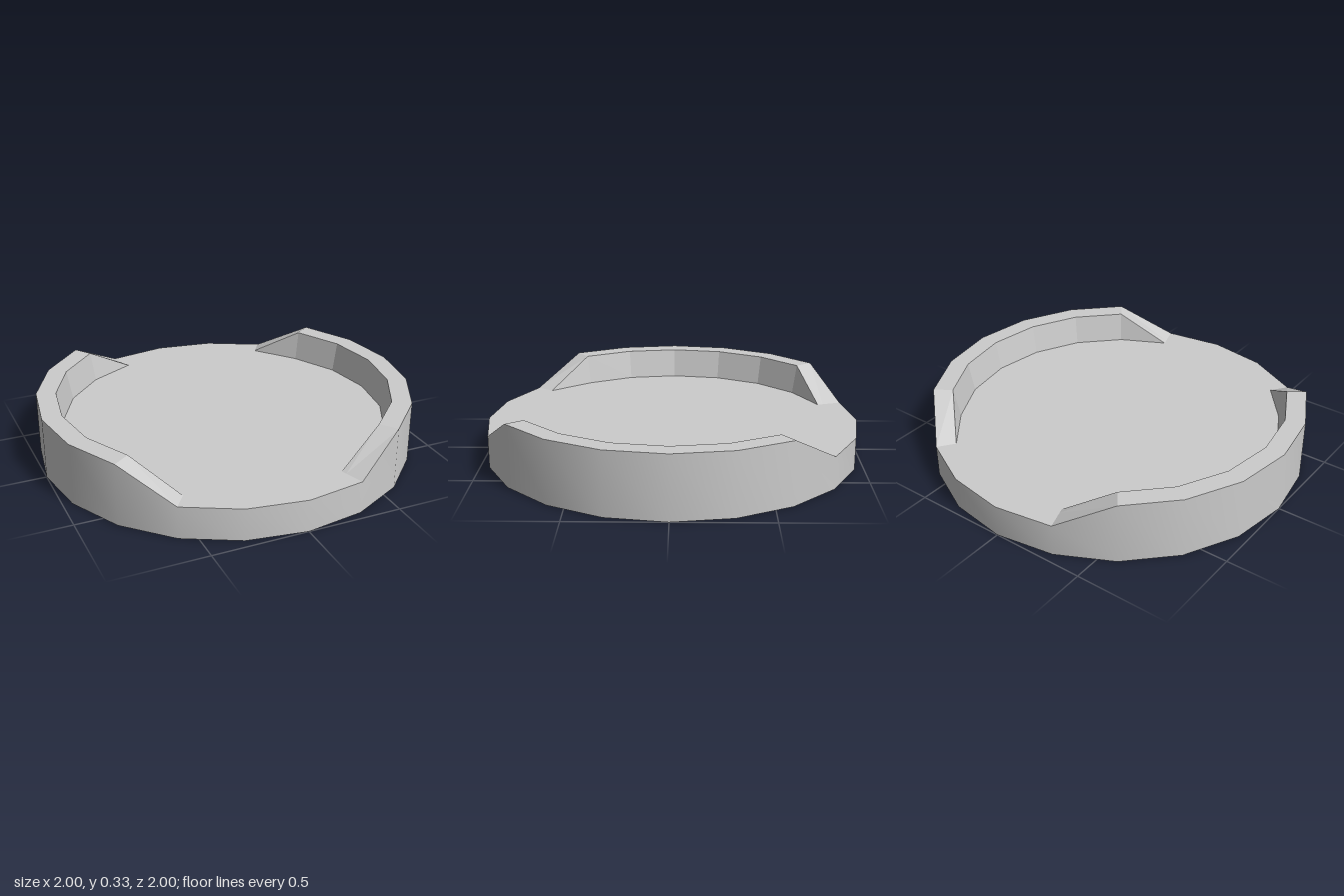
import * as THREE from 'three';
import { toCreasedNormals } from 'three/addons/utils/BufferGeometryUtils.js';

const SIDES = 20, FLOOR = 0.172, RIM = 0.332;
const R_OUT = 1, R_IN_TOP = 0.895, R_IN_BASE = 0.865;
const FIRST = -3, LAST = 4; // low ends of one raised wall, in sides
const STARTS = [0, SIDES / 2]; // two walls, half a turn apart

const point = (i, r, y) => {
  const a = (i / SIDES) * Math.PI * 2;
  return [r * Math.cos(a), y, r * Math.sin(a)];
};

// Height of the top edge at a corner: raised inside a wall, low elsewhere
const height = (i) =>
  STARTS.some((s) => {
    const k = (((i - s - FIRST) % SIDES) + SIDES) % SIDES;
    return k > 0 && k < LAST - FIRST;
  }) ? RIM : FLOOR;

// Strip of quads between two edges, each given by a function of the corner
function strip(from, to, edgeA, edgeB) {
  const pos = [];
  for (let i = from; i < to; i++) {
    const a = edgeA(i), b = edgeB(i), c = edgeB(i + 1), d = edgeA(i + 1);
    pos.push(...a, ...b, ...c, ...a, ...c, ...d);
  }
  const g = new THREE.BufferGeometry();
  g.setAttribute('position', new THREE.Float32BufferAttribute(pos, 3));
  g.computeVertexNormals();
  return g;
}

export function createModel() {
  const group = new THREE.Group();
  group.name = 'dish';
  const smooth = new THREE.MeshStandardMaterial({ color: 0xcccccc });
  const flat = new THREE.MeshStandardMaterial({ color: 0xcccccc, flatShading: true });
  const add = (name, geometry, material) => {
    const mesh = new THREE.Mesh(geometry, material);
    mesh.name = name;
    group.add(mesh);
  };

  const outer = (i) => point(i, R_OUT, height(i));
  const innerTop = (i) => point(i, R_IN_TOP, height(i));
  const innerBase = (i) => point(i, R_IN_BASE, FLOOR);

  // Outer side, smooth all the way round
  const side = strip(0, SIDES, (i) => point(i, R_OUT, 0), outer);
  add('outerSide', toCreasedNormals(side, 0.5), smooth);

  // Underside
  add('underside', new THREE.CircleGeometry(R_OUT, SIDES).rotateX(Math.PI / 2), flat);

  // Raised walls: sloping-ended rim and faceted, leaning inner face
  STARTS.forEach((s, n) => {
    const label = n === 0 ? 'left' : 'right';
    add(label + 'WallRim', strip(s + FIRST, s + LAST, outer, innerTop), flat);
    add(label + 'WallInside', strip(s + FIRST, s + LAST, innerTop, innerBase), flat);
  });

  // Floor: follows the wall insides, then runs out to the edge in the two gaps
  const outline = [];
  const put = (i, r) => {
    const [x, , z] = point(i, r, 0);
    outline.push(new THREE.Vector2(x, -z));
  };
  for (const s of STARTS) {
    for (let i = FIRST; i <= LAST; i++) put(s + i, R_IN_BASE);
    for (let i = LAST; i <= FIRST + SIDES / 2; i++) put(s + i, R_OUT);
  }
  const floor = new THREE.ShapeGeometry(new THREE.Shape(outline));
  add('floor', floor.rotateX(-Math.PI / 2).translate(0, FLOOR, 0), flat);

  return group;
}
